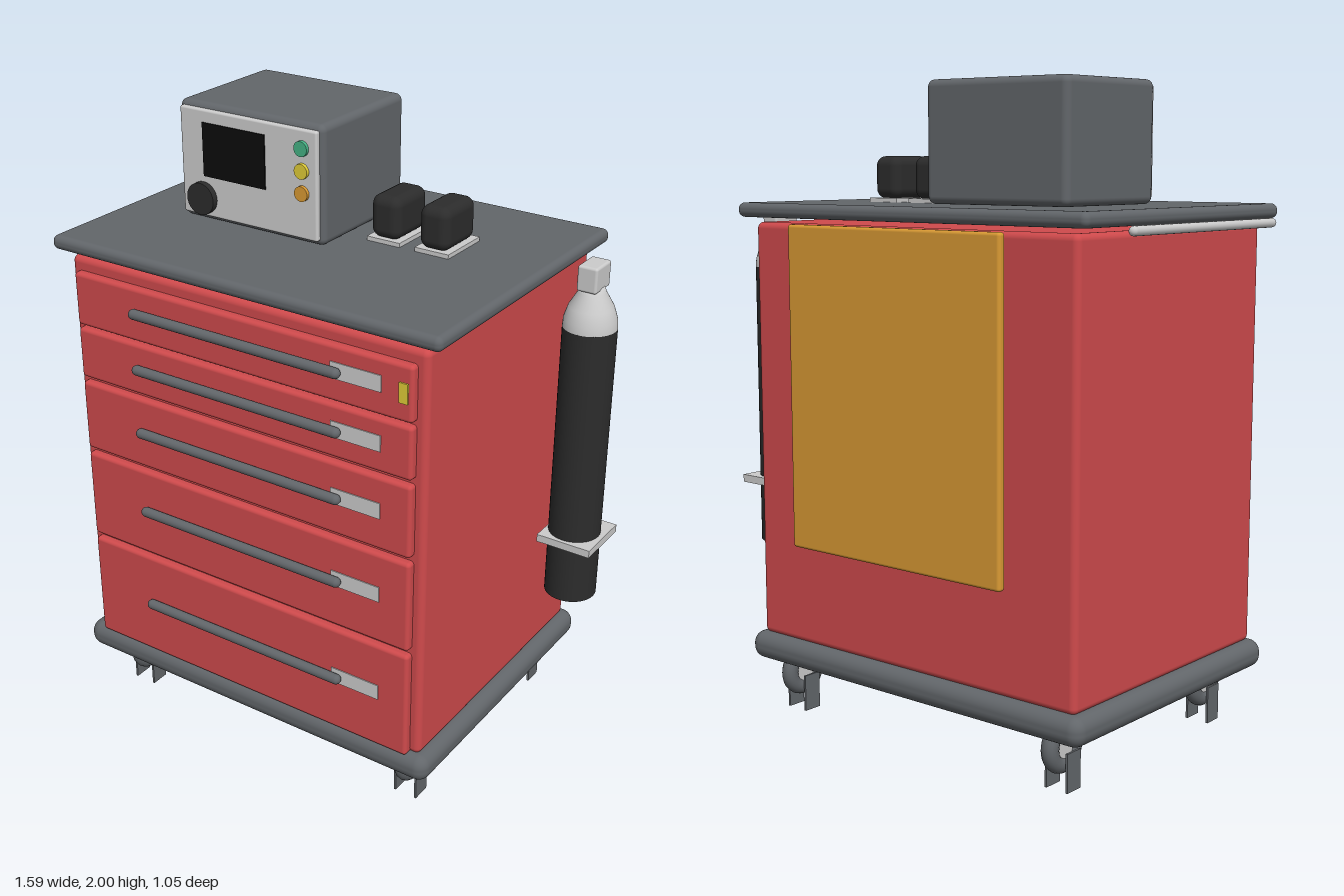
import * as THREE from 'three';
import { RoundedBoxGeometry } from 'three/addons/geometries/RoundedBoxGeometry.js';

const mat = (color) => new THREE.MeshStandardMaterial({ color });

export function createModel() {
  const root = new THREE.Group();
  const red = mat(0xcf4a4c), slate = mat(0x62666a), grey = mat(0xcccccc), black = mat(0x2c2c2c);
  const orange = mat(0xd99a34), yellow = mat(0xe0cc38), green = mat(0x45b184);

  const add = (name, geometry, material, x = 0, y = 0, z = 0, parent = root) => {
    const mesh = new THREE.Mesh(geometry, material);
    mesh.name = name;
    mesh.position.set(x, y, z);
    parent.add(mesh);
    return mesh;
  };
  // Box from its limits; r > 0 rounds the edges
  const box = (name, material, [x0, x1], [y0, y1], [z0, z1], r = 0, parent = root) => {
    const s = [x1 - x0, y1 - y0, z1 - z0];
    const g = r ? new RoundedBoxGeometry(...s, 4, r) : new THREE.BoxGeometry(...s);
    return add(name, g, material, (x0 + x1) / 2, (y0 + y1) / 2, (z0 + z1) / 2, parent);
  };

  // Cabinet shell
  box('cabinet', red, [-0.68, 0.577], [0.25, 1.575], [-0.46, 0.47], 0.02);
  box('base', slate, [-0.717, 0.612], [0.165, 0.255], [-0.493, 0.5], 0.04);
  box('worktop', slate, [-0.73, 0.627], [1.59, 1.635], [-0.493, 0.5], 0.02);

  // Drawers: bottom, top and handle heights
  const drawers = [
    [1.363, 1.533, 1.459], [1.188, 1.353, 1.278], [0.94, 1.172, 1.066],
    [0.626, 0.923, 0.79], [0.25, 0.61, 0.446],
  ];
  for (const [y0, y1, h] of drawers) {
    const drawer = new THREE.Group();
    drawer.name = 'drawer';
    root.add(drawer);
    box('drawerFront', red, [-0.652, 0.545], [y0, y1], [0.455, 0.495], 0.012, drawer);
    const handle = add('drawerHandle', new THREE.CapsuleGeometry(0.016, 0.715, 6, 16), slate, -0.052, h, 0.511, drawer);
    handle.rotation.z = Math.PI / 2;
    box('drawerLabel', grey, [0.28, 0.446], [h - 0.025, h + 0.025], [0.49, 0.498], 0, drawer);
  }
  box('drawerSeal', yellow, [0.515, 0.543], [1.432, 1.492], [0.513, 0.519]);

  // Push bar on the right side and board on the back
  const bar = add('pushBar', new THREE.CapsuleGeometry(0.014, 0.715, 6, 16), grey, -0.785, 1.582, 0);
  bar.rotation.x = Math.PI / 2;
  box('backBoard', orange, [-0.466, 0.362], [0.58, 1.575], [-0.527, -0.499], 0.01);

  // Gas cylinder, valve and clamp
  const cx = 0.697, cz = -0.245;
  add('gasCylinder', new THREE.CylinderGeometry(0.082, 0.082, 0.915, 40), black, cx, 0.963, cz);
  const shoulder = [[0.082, 1.42], [0.08, 1.447], [0.068, 1.485], [0.042, 1.53], [0.034, 1.55], [0, 1.55]];
  add('cylinderShoulder', new THREE.LatheGeometry(shoulder.map((p) => new THREE.Vector2(...p)), 40), grey, cx, 0, cz);
  box('cylinderValve', grey, [cx - 0.032, cx + 0.032], [1.54, 1.62], [cz - 0.047, cz + 0.047], 0.008);
  box('cylinderClamp', grey, [0.615, 0.795], [0.7, 0.725], [-0.343, -0.15]);

  // Monitor
  const monitor = new THREE.Group();
  monitor.name = 'monitor';
  root.add(monitor);
  box('monitorCase', slate, [-0.515, 0.01], [1.637, 2], [-0.293, 0.135], 0.022, monitor);
  box('monitorPanel', grey, [-0.5, -0.003], [1.655, 1.985], [0.13, 0.15], 0.007, monitor);
  box('monitorScreen', mat(0x0c0c0c), [-0.415, -0.186], [1.782, 1.947], [0.145, 0.154], 0, monitor);
  const dial = (name, material, r, x, y, z1) => {
    const m = add(name, new THREE.CylinderGeometry(r, r, z1 - 0.14, 28), material, x, y, (z1 + 0.14) / 2, monitor);
    m.rotation.x = Math.PI / 2;
  };
  dial('monitorKnob', black, 0.05, -0.42, 1.713, 0.17);
  [green, yellow, orange].forEach((m, i) => dial('monitorButton', m, 0.023, -0.053, 1.93 - i * 0.067, 0.161));

  // Paddles on their plates
  for (const x of [0.131, 0.297]) {
    box('paddlePlate', grey, [x - 0.057, x + 0.057], [1.634, 1.648], [-0.175, 0.005]);
    box('paddle', black, [x - 0.05, x + 0.05], [1.646, 1.778], [-0.167, 0.004], 0.03);
  }

  // Casters
  for (const x of [-0.583, 0.478]) for (const z of [0.347, -0.388]) {
    const caster = new THREE.Group();
    caster.name = 'caster';
    caster.position.set(x, 0, z);
    root.add(caster);
    const tyre = add('casterTyre', new THREE.TorusGeometry(0.055, 0.026, 14, 32), slate, 0, 0.127, 0, caster);
    tyre.rotation.y = Math.PI / 2;
    const hub = add('casterHub', new THREE.CylinderGeometry(0.045, 0.045, 0.03, 24), grey, 0, 0.127, 0, caster);
    hub.rotation.z = Math.PI / 2;
    for (const s of [-1, 1]) {
      add('casterFork', new THREE.BoxGeometry(0.007, 0.117, 0.062), slate, s * 0.037, 0.0585, 0.005, caster);
    }
  }
  return root;
}
